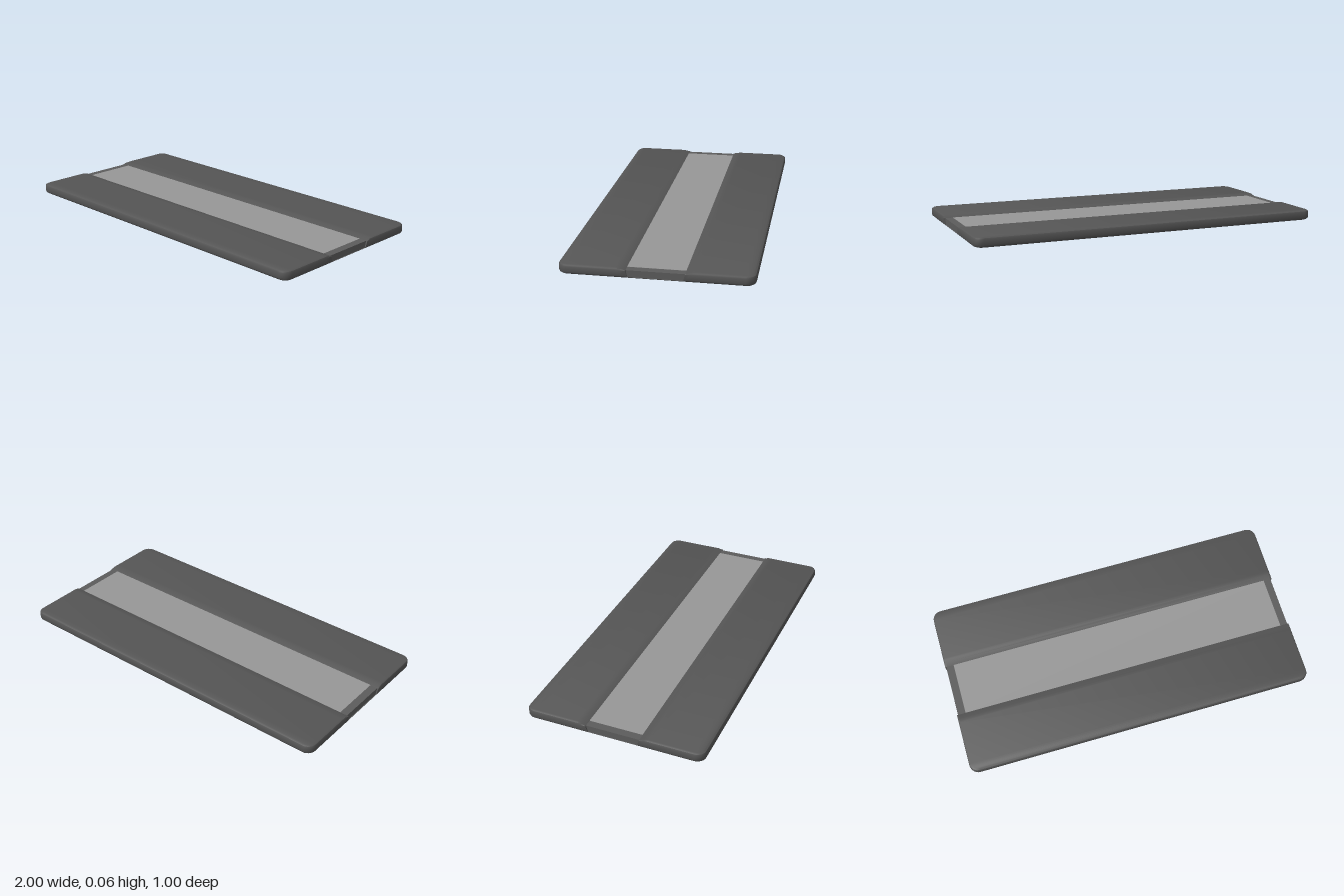
import * as THREE from 'three';
import { toCreasedNormals } from 'three/addons/utils/BufferGeometryUtils.js';

const R = 0.05; // plan corner radius
const SLOT = [[0.2, 0.06], [0.19, 0.0593], [0.175, 0.056], [0.155, 0.05], [0.15, 0.048], [0.14, 0.012]];

// highest allowed y at depth z: full height, easing down, then the slot
function topLimit(z) {
  const d = Math.abs(z);
  for (const [edge, y] of SLOT) if (d >= edge - 1e-6) return y;
  return 0.012;
}

// slab made of stacked rounded outlines, with the lengthwise slot pressed in
function slabGeometry() {
  // inset from the outline, height
  const levels = [[0.045, 0], [0.025, 0.002], [0.01, 0.007], [0.003, 0.012], [0, 0.02],
    [0, 0.048], [0.003, 0.055], [0.012, 0.06]];
  const steps = 6;
  const zs = [...SLOT.map(s => s[0]), ...SLOT.map(s => -s[0]).reverse()];
  const half = []; // corner centre sign, direction or straight-side z
  for (let i = 0; i <= steps; i++) half.push({ s: 1, a: Math.PI / 2 * (1 - i / steps) });
  for (const z of zs) half.push({ z });
  for (let i = 0; i <= steps; i++) half.push({ s: -1, a: -Math.PI / 2 * i / steps });

  const n = half.length, count = n * 2, pos = [], index = [];
  for (const [inset, y] of levels) {
    const right = half.map(p => {
      const limit = p.s ? 0.06 : topLimit(p.z);
      const k = R - (y > limit ? Math.max(inset, 0.003) : inset);
      return p.s
        ? [1 - R + Math.cos(p.a) * k, y, p.s * (0.5 - R) + Math.sin(p.a) * k]
        : [1 - R + k, Math.min(y, limit), p.z];
    });
    const left = right.map(([x, h, z]) => [-x, h, z]).reverse();
    for (const p of [...right, ...left]) pos.push(...p);
  }
  for (let l = 0; l < levels.length - 1; l++) {
    for (let i = 0; i < count; i++) {
      const a = l * count + i, b = l * count + (i + 1) % count;
      index.push(a, b, b + count, a, b + count, a + count);
    }
  }
  // bottom and top caps, row by row
  const top = (levels.length - 1) * count;
  for (let i = 0; i < n - 1; i++) {
    const r0 = i, r1 = i + 1, l0 = count - 1 - i, l1 = count - 2 - i;
    index.push(r0, l1, r1, r0, l0, l1);
    index.push(top + r0, top + r1, top + l1, top + r0, top + l1, top + l0);
  }
  const g = new THREE.BufferGeometry();
  g.setAttribute('position', new THREE.Float32BufferAttribute(pos, 3));
  g.setIndex(index);
  return toCreasedNormals(g, 0.6);
}

export function createModel() {
  const group = new THREE.Group();
  const add = (name, geometry, color) => {
    const mesh = new THREE.Mesh(geometry, new THREE.MeshStandardMaterial({ color }));
    mesh.name = name;
    group.add(mesh);
    return mesh;
  };

  add('slabBody', slabGeometry(), 0x555555);

  // tapered bar filling the slot
  const section = new THREE.Shape([[-0.14, 0.012], [0.14, 0.012], [0.15, 0.048], [-0.15, 0.048]]
    .map(([x, y]) => new THREE.Vector2(x, y)));
  const bar = new THREE.ExtrudeGeometry(section, { depth: 1.984, bevelEnabled: false });
  bar.translate(0, 0, -0.992).rotateY(Math.PI / 2);
  add('centreBar', bar, 0x5c5c5c);

  // pale panel on top of the bar
  add('topPanel', new THREE.BoxGeometry(1.9, 0.002, 0.3), 0x979797).position.y = 0.048;

  return group;
}
